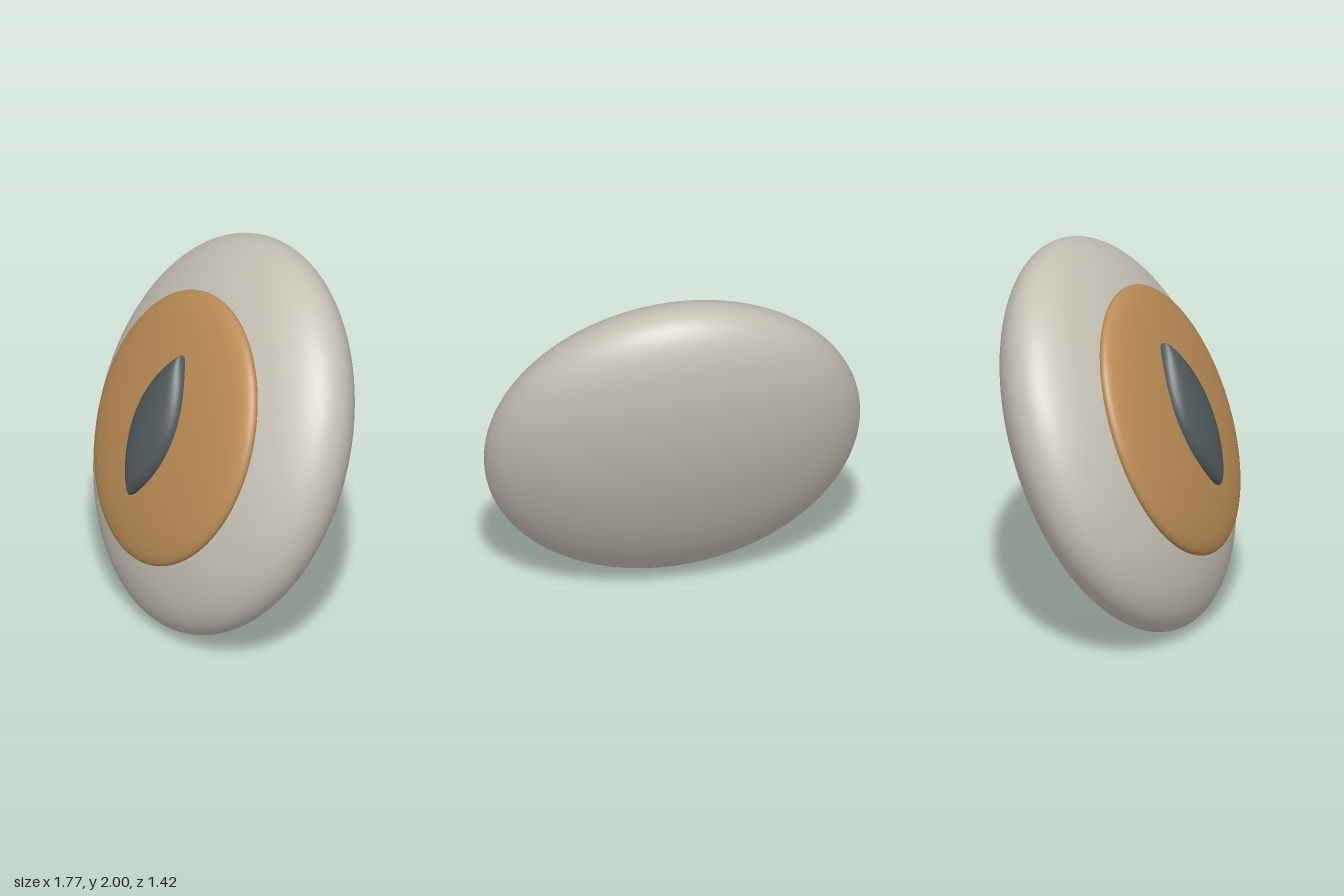
import * as THREE from 'three';
import { mergeVertices } from 'three/addons/utils/BufferGeometryUtils.js';

const paint = (name, color) => {
  const m = new THREE.MeshStandardMaterial({ color });
  m.name = name;
  return m;
};

// Ellipsoid with radii (rx, ry, rz); pointed = true tapers the width to a sharp tip at both ends
function ellipsoid(rx, ry, rz, pointed = false) {
  const geo = new THREE.SphereGeometry(1, 80, 56);
  if (pointed) {
    const p = geo.attributes.position;
    for (let i = 0; i < p.count; i++) {
      p.setX(i, p.getX(i) * Math.sqrt(Math.max(0, 1 - p.getY(i) ** 2)));
    }
    geo.deleteAttribute('uv');
    geo.deleteAttribute('normal');
    const welded = mergeVertices(geo, 1e-5).scale(rx, ry, rz);
    welded.computeVertexNormals();
    return welded;
  }
  return geo.scale(rx, ry, rz);
}

export function createModel() {
  const model = new THREE.Group();
  model.name = 'eye';

  // Everything is stacked along the gaze direction, local +z
  const eye = new THREE.Group();
  eye.name = 'tiltedEye';
  eye.position.set(0, 1, 0);
  eye.lookAt(-0.502, 1.381, 0.776);
  model.add(eye);

  const add = (name, geo, mat, z) => {
    const mesh = new THREE.Mesh(geo, mat);
    mesh.name = name;
    mesh.position.z = z;
    eye.add(mesh);
  };

  // Flattened eyeball, shallow iris dome, slit pupil
  add('eyeball', ellipsoid(0.995, 1.07, 0.4), paint('warm grey', 0xc4c0b4), 0);
  add('iris', ellipsoid(0.688, 0.735, 0.13), paint('amber', 0xb98c55), 0.31);
  add('pupil', ellipsoid(0.172, 0.408, 0.09, true), paint('dark slate', 0x50585a), 0.44);

  return model;
}
